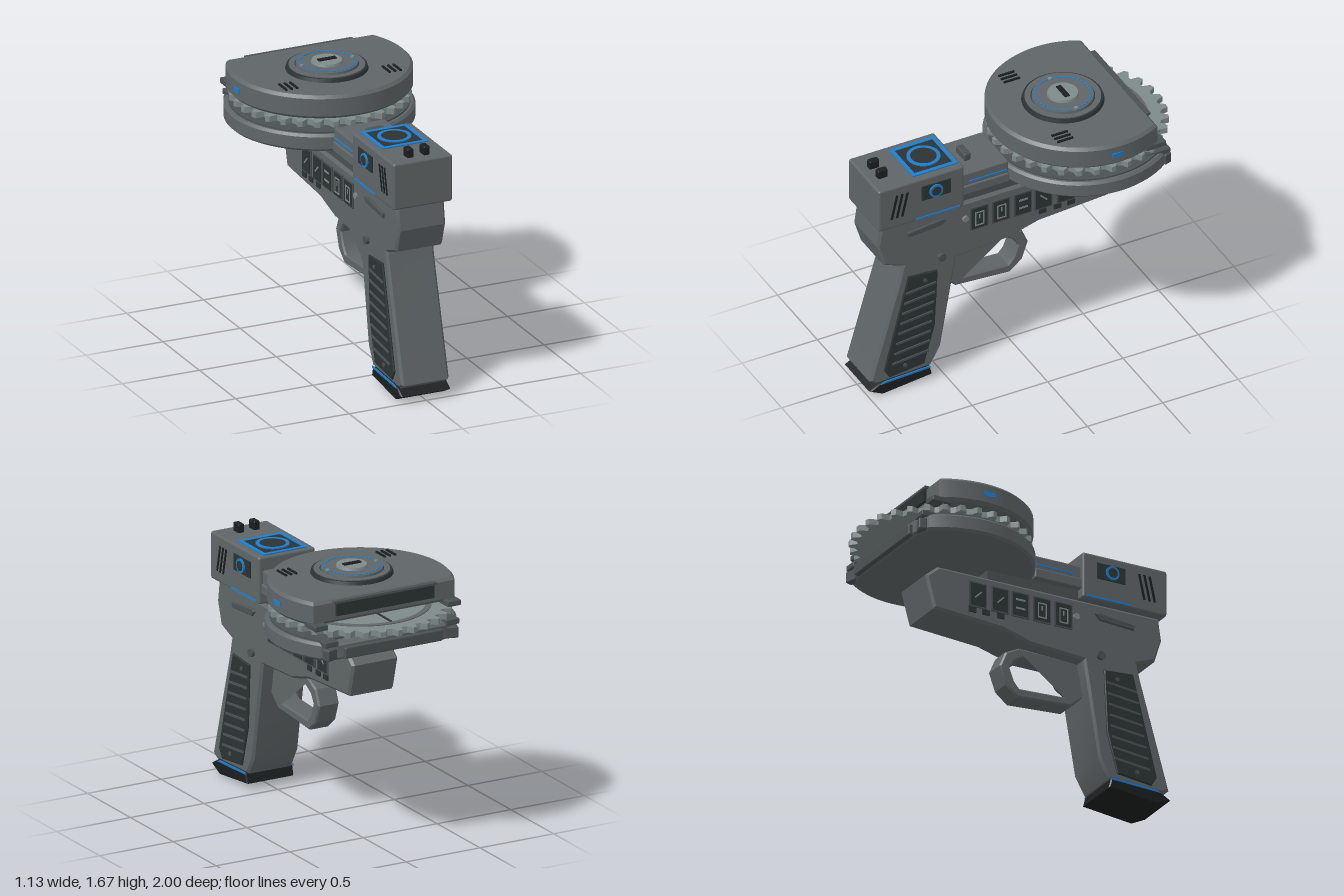
import * as THREE from 'three';
import { toCreasedNormals } from 'three/addons/utils/BufferGeometryUtils.js';
import { RoundedBoxGeometry } from 'three/addons/geometries/RoundedBoxGeometry.js';

const paint = (name, color) => Object.assign(new THREE.MeshStandardMaterial({ color }), { name });
const M = {
  body: paint('gunmetal', 0x5f6567),
  mid: paint('slate', 0x4b5153),
  dark: paint('charcoal', 0x2c3333),
  black: paint('black', 0x1b1f1f),
  light: paint('steel', 0x7e8989),
  blue: paint('blue', 0x1f7dcc),
};

export function createModel() {
  const root = new THREE.Group();
  root.name = 'discBladePistol';

  const add = (name, mat, geo, x = 0, y = 0, z = 0, rotX = 0) => {
    const m = new THREE.Mesh(geo, mat);
    m.name = name;
    m.position.set(x, y, z);
    m.rotation.x = rotX;
    root.add(m);
    return m;
  };
  const box = (name, mat, w, h, d, x, y, z, rotX) => add(name, mat, new THREE.BoxGeometry(w, h, d), x, y, z, rotX);
  const rbox = (name, mat, w, h, d, x, y, z, r = 0.015) =>
    add(name, mat, new RoundedBoxGeometry(w, h, d, 2, r), x, y, z);
  const cyl = (name, mat, r, h, x, y, z, rTop = r) =>
    add(name, mat, new THREE.CylinderGeometry(rTop, r, h, 48), x, y, z);
  const pin = (name, mat, r, h, x, y, z) => {
    const m = add(name, mat, new THREE.CylinderGeometry(r, r, h, 24), x, y, z);
    m.rotation.z = Math.PI / 2;
    return m;
  };
  const toShape = (pts) => new THREE.Shape(pts.map(([a, b]) => new THREE.Vector2(a, b)));
  const extrude = (shape, depth, bevel) => {
    const g = new THREE.ExtrudeGeometry(shape, {
      depth: depth - 2 * bevel, bevelEnabled: bevel > 0, bevelThickness: bevel,
      bevelSize: bevel, bevelOffset: -bevel, bevelSegments: 1, curveSegments: 64,
    });
    return g.translate(0, 0, bevel - depth / 2);
  };
  // Profile of [z, y] points, extruded across x
  const side = (name, mat, pts, width, x = 0, bevel = 0, hole) => {
    const shape = toShape(pts);
    if (hole) shape.holes.push(toShape(hole));
    const g = extrude(shape, width, bevel).rotateY(-Math.PI / 2);
    return add(name, mat, toCreasedNormals(g, 0.4), x);
  };
  // Horizontal outline of [x, -z], extruded in y around the given height
  const flat = (name, mat, shape, height, y, z, bevel = 0) =>
    add(name, mat, toCreasedNormals(extrude(shape, height, bevel).rotateX(-Math.PI / 2), 0.4), 0, y, z);
  const ring = (name, mat, rOut, rIn, h, y, z) => {
    const s = new THREE.Shape().absarc(0, 0, rOut, 0, Math.PI * 2);
    s.holes.push(new THREE.Path().absarc(0, 0, rIn, 0, Math.PI * 2, true));
    return flat(name, mat, s, h, y, z);
  };

  // Frame with raked grip
  side('frame', M.body, [[0.925, 1.215], [0.945, 1.08], [0.9, 0.935], [0.78, 0.89], [0.8, 0.8], [0.995, 0.12],
    [0.95, 0.09], [0.59, 0.105], [0.525, 0.22], [0.42, 0.835], [0.07, 0.855], [-0.13, 0.91],
    [-0.59, 0.94], [-0.645, 1.145], [-0.56, 1.215]], 0.31, 0, 0.015);
  side('gripBase', M.black, [[1, 0.055], [0.91, 0.01], [0.585, 0.045], [0.6, 0.105], [0.93, 0.095]], 0.32, 0, 0.008);
  add('gripFoot', M.black, new THREE.BoxGeometry(0.2, 0.012, 0.2), 0, 0.033, 0.76, 0.107);

  // Trigger guard and trigger
  side('triggerGuard', M.body, [[0.42, 0.85], [0.03, 0.855], [-0.06, 0.81], [-0.1, 0.715], [-0.06, 0.6], [0.02, 0.535],
    [0.38, 0.56], [0.47, 0.64], [0.46, 0.7]], 0.14, 0, 0.01,
  [[0.415, 0.8], [0.06, 0.8], [0, 0.765], [-0.03, 0.715], [0, 0.635], [0.035, 0.595], [0.36, 0.61], [0.445, 0.68]]);
  side('trigger', M.mid, [[0.34, 0.83], [0.29, 0.83], [0.295, 0.74], [0.325, 0.69], [0.38, 0.655], [0.39, 0.675],
    [0.345, 0.72], [0.34, 0.77]], 0.07, 0, 0.006);

  // Rear housing
  rbox('housing', M.body, 0.385, 0.293, 0.567, 0, 1.367, 0.674);
  box('topWell', M.dark, 0.26, 0.008, 0.26, 0, 1.514, 0.56);
  const frame = toShape([[-0.15, -0.15], [0.15, -0.15], [0.15, 0.15], [-0.15, 0.15]]);
  frame.holes.push(toShape([[-0.125, -0.125], [-0.125, 0.125], [0.125, 0.125], [0.125, -0.125]]));
  flat('topWellFrame', M.blue, frame, 0.009, 1.516, 0.56);
  ring('topLensRing', M.blue, 0.1, 0.078, 0.009, 1.521, 0.56);
  cyl('topLens', M.dark, 0.078, 0.008, 0, 1.52, 0.56);
  for (const s of [-1, 1]) {
    rbox('rearSight', M.black, 0.04, 0.06, 0.065, s * 0.053, 1.537, 0.865, 0.008);
    cyl('rearSightBase', M.dark, 0.012, 0.03, s * 0.053, 1.52, 0.865);
  }

  // Bridge to the disc chamber
  rbox('bridge', M.body, 0.33, 0.14, 0.32, 0, 1.36, 0.24, 0.012);
  rbox('bridgeSkirt', M.body, 0.35, 0.065, 0.32, 0, 1.315, 0.24, 0.01);
  box('lowerRail', M.mid, 0.27, 0.09, 0.62, 0, 1.255, 0.09);
  rbox('releaseButton', M.mid, 0.11, 0.05, 0.045, 0, 1.455, 0.295, 0.01);

  // Truncated disc chambers
  const cut = (r, d, chamfer = 0) => {
    const a = Math.asin(d / r), s = new THREE.Shape();
    s.absarc(0, 0, r, Math.PI - a, Math.PI * 2 + a, false);
    if (chamfer) s.lineTo(chamfer, d + 0.04).lineTo(-chamfer, d + 0.04);
    return s.closePath(), s;
  };
  const CZ = -0.467;
  flat('upperChamber', M.body, cut(0.55, 0.273), 0.145, 1.547, CZ, 0.018);
  flat('lowerChamber', M.body, cut(0.563, 0.33, 0.36), 0.105, 1.328, CZ, 0.015);
  flat('lowerChamberLip', M.mid, cut(0.535, 0.3), 0.012, 1.384, CZ);
  box('upperFrontPlate', M.dark, 0.66, 0.08, 0.025, 0, 1.56, -0.748);
  box('upperFrontLip', M.mid, 0.7, 0.014, 0.035, 0, 1.605, -0.745);
  rbox('lowerFrontPlate', M.mid, 0.66, 0.07, 0.04, 0, 1.318, -0.84, 0.008);

  // Toothed blade and hub
  const teeth = 32, blade = [];
  for (let i = 0; i < teeth; i++) {
    for (const [t, r] of [[0, 0.488], [0.3, 0.5], [0.5, 0.54], [0.78, 0.535]]) {
      const a = ((i + t) / teeth) * Math.PI * 2;
      blade.push([r * Math.cos(a), r * Math.sin(a)]);
    }
  }
  const bladeGeo = extrude(toShape(blade), 0.036, 0).rotateX(-Math.PI / 2);
  add('sawBlade', M.light, bladeGeo, 0, 1.436, -0.46);
  ring('bladeGroove', M.body, 0.42, 0.385, 0.008, 1.455, -0.46);
  cyl('hub', M.mid, 0.085, 0.13, 0, 1.43, -0.455);
  cyl('hubCollar', M.dark, 0.12, 0.02, 0, 1.465, -0.455);
  for (let i = 0; i < 6; i++) {
    const m = box('bladeSpoke', M.dark, 0.26, 0.006, 0.014, 0, 1.456, -0.46);
    const a = (i / 6) * Math.PI * 2 + 0.5;
    m.position.x += 0.25 * Math.cos(a);
    m.position.z -= 0.25 * Math.sin(a);
    m.rotation.y = a;
  }

  // Stepped dial on top
  const DZ = -0.365;
  cyl('dialBase', M.dark, 0.245, 0.022, 0, 1.63, DZ, 0.238);
  ring('dialRim', M.body, 0.225, 0.19, 0.02, 1.637, DZ);
  cyl('dialStep', M.body, 0.188, 0.036, 0, 1.64, DZ, 0.182);
  for (let i = 0; i < 36; i++) {
    const a = (i / 36) * Math.PI * 2;
    const m = box('dialTick', M.blue, 0.009, 0.006, 0.02, 0.165 * Math.cos(a), 1.659, DZ + 0.165 * Math.sin(a));
    m.rotation.y = -a;
  }
  cyl('dialKnob', M.light, 0.095, 0.016, 0, 1.665, DZ, 0.09);
  box('dialSlot', M.black, 0.115, 0.01, 0.032, 0, 1.675, DZ);

  // Details mirrored on both sides
  for (const s of [-1, 1]) {
    const X = s * 0.155, H = s * 0.193;
    side('gripPanel', M.dark, [[0.745, 0.81], [0.55, 0.795], [0.57, 0.4], [0.64, 0.145], [0.87, 0.12], [0.905, 0.18]],
      0.022, X, 0.005);
    for (let i = 0; i < 8; i++) {
      const t = i / 7;
      box('gripRib', M.mid, 0.012, 0.014, 0.2 + 0.04 * t, s * 0.167, 0.705 - 0.48 * t, 0.665 + 0.07 * t, 0.1);
    }
    pin('gripScrew', M.mid, 0.013, 0.01, s * 0.167, 0.75, 0.636);
    pin('gripScrew', M.mid, 0.013, 0.01, s * 0.167, 0.18, 0.77);
    side('gripBaseStripe', M.blue, [[0.93, 0.086], [0.6, 0.1], [0.6, 0.112], [0.9, 0.1]], 0.008, s * 0.16);
    pin('framePin', M.mid, 0.025, 0.03, s * 0.162, 0.88, 0.525);
    pin('frameStud', M.light, 0.02, 0.016, s * 0.158, 1.1, 0.365);
    side('safetyLever', M.mid, [[0.755, 1.13], [0.52, 1.155], [0.49, 1.145], [0.52, 1.11], [0.75, 1.095]], 0.026, X, 0.005);

    // Indicator windows with small marks
    [0.275, 0.13, -0.015, -0.15, -0.3].forEach((z, i) => {
      box('windowFrame', M.mid, 0.014, 0.16, 0.12, s * 0.157, 1.085, z);
      box('window', M.dark, 0.008, 0.142, 0.102, s * 0.163, 1.085, z);
      const mark = (h, d, y, dz, rot) => box('windowMark', M.light, 0.006, h, d, s * 0.167, 1.085 + y, z + dz, rot);
      if (i < 2) {
        for (const k of [-1, 1]) {
          mark(0.09, 0.008, -0.005, k * 0.026);
          mark(0.008, 0.06, k * 0.045 - 0.005, 0);
        }
        mark(0.03, 0.008, 0.01, 0);
      } else if (i === 2) {
        mark(0.012, 0.06, 0.03, 0);
        mark(0.012, 0.06, -0.025, 0);
      } else mark(0.06, 0.009, 0, 0, 0.8);
    });
    for (const z of [-0.145, -0.245, -0.335]) box('smallPort', M.dark, 0.014, 0.032, 0.048, s * 0.157, 0.985, z);

    // Housing side: lens, vents, stripes
    box('sideWell', M.dark, 0.014, 0.1, 0.19, H, 1.41, 0.578);
    pin('sideLensRing', M.blue, 0.044, 0.022, s * 0.199, 1.41, 0.583);
    pin('sideLens', M.dark, 0.03, 0.026, s * 0.2, 1.41, 0.583);
    for (const z of [0.855, 0.82, 0.785]) box('housingVent', M.black, 0.008, 0.165, 0.014, H, 1.372, z, -0.22);
    box('housingStripe', M.blue, 0.008, 0.012, 0.29, H, 1.236, 0.565);
    box('bridgeStripe', M.blue, 0.008, 0.01, 0.25, s * 0.166, 1.37, 0.22);

    // Chamber fittings
    const tag = box('chamberTag', M.blue, 0.014, 0.03, 0.07, s * 0.547, 1.545, -0.44);
    tag.rotation.y = s * 0.05;
    for (const x of [0.3, 0.335, 0.37]) box('chamberVent', M.black, 0.012, 0.012, 0.105, s * x, 1.623, -0.185);
    rbox('upperGuideTab', M.mid, 0.09, 0.035, 0.13, s * 0.45, 1.473, -0.725, 0.006);
    rbox('lowerGuideTab', M.mid, 0.09, 0.035, 0.22, s * 0.41, 1.38, -0.73, 0.006);
    const cornerBlock = rbox('lowerCornerBlock', M.mid, 0.1, 0.07, 0.05, s * 0.4, 1.315, -0.815, 0.008);
    cornerBlock.rotation.y = s * 0.3;
    cyl('dialPin', M.light, 0.012, 0.01, s * 0.165, 1.66, DZ);
  }
  return root;
}
